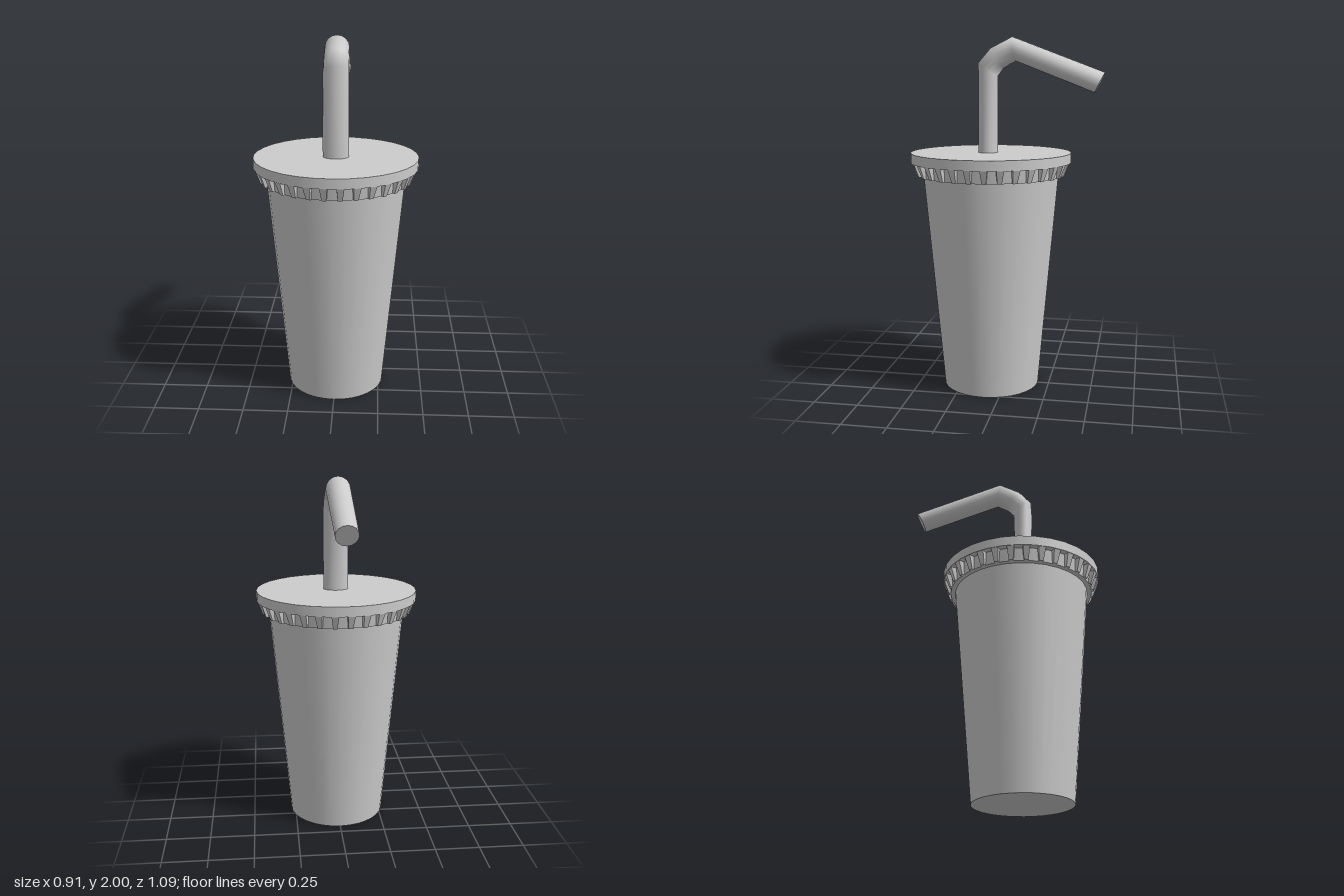
import * as THREE from 'three';

const SIDES = 32;
const mat = new THREE.MeshStandardMaterial({ color: 0xcccccc });

function add(parent, name, geometry) {
  const mesh = new THREE.Mesh(geometry, mat);
  mesh.name = name;
  parent.add(mesh);
  return mesh;
}

// Closed tapered drum between two heights
function drum(parent, name, rTop, rBottom, y0, y1) {
  const mesh = add(parent, name, new THREE.CylinderGeometry(rTop, rBottom, y1 - y0, SIDES));
  mesh.position.y = (y0 + y1) / 2;
  return mesh;
}

// Gusset-shaped tooth: deep and wide at the top, shallow and narrow below
function toothGeometry(height) {
  const g = new THREE.BoxGeometry(1, height, 1);
  const p = g.attributes.position;
  for (let i = 0; i < p.count; i++) {
    const top = p.getY(i) > 0;
    const outer = p.getZ(i) > 0;
    p.setX(i, Math.sign(p.getX(i)) * (top ? 0.02 : 0.012));
    p.setZ(i, outer ? (top ? 0.45 : 0.422) : 0.39);
  }
  g.computeVertexNormals();
  return g;
}

// Oval tube lofted through rings given by outer and inner points in the z-y plane
function strawGeometry(rings, sides) {
  const pos = [], index = [];
  for (const [zo, yo, zi, yi, halfWidth] of rings) {
    for (let j = 0; j < sides; j++) {
      const a = (j / sides) * Math.PI * 2;
      const c = Math.cos(a);
      pos.push(
        halfWidth * Math.sin(a),
        (yo + yi) / 2 + (c * (yo - yi)) / 2,
        (zo + zi) / 2 + (c * (zo - zi)) / 2
      );
    }
  }
  for (let i = 0; i < rings.length - 1; i++) {
    for (let j = 0; j < sides; j++) {
      const k = (j + 1) % sides;
      const a = i * sides + j, b = i * sides + k;
      index.push(a, b, b + sides, a, b + sides, a + sides);
    }
  }
  // Tip cap on its own vertices so its edge stays sharp
  const last = (rings.length - 1) * sides;
  const start = pos.length / 3;
  pos.push(...pos.slice(last * 3, (last + sides) * 3));
  for (let j = 1; j < sides - 1; j++) index.push(start, start + j, start + j + 1);

  const g = new THREE.BufferGeometry();
  g.setAttribute('position', new THREE.Float32BufferAttribute(pos, 3));
  g.setIndex(index);
  g.computeVertexNormals();
  return g;
}

export function createModel() {
  const model = new THREE.Group();
  model.name = 'drinkCup';

  const cup = new THREE.Group();
  cup.name = 'cupWithLid';
  cup.position.z = 0.09;
  model.add(cup);

  drum(cup, 'cupBody', 0.386, 0.275, 0, 1.25);
  drum(cup, 'lidSkirt', 0.42, 0.41, 1.232, 1.306);
  drum(cup, 'lidDisc', 0.455, 0.455, 1.305, 1.36);

  // Ribs around the lid skirt
  const teeth = new THREE.Group();
  teeth.name = 'lidTeeth';
  cup.add(teeth);
  const tooth = toothGeometry(0.074);
  for (let i = 0; i < SIDES; i++) {
    const mesh = add(teeth, 'lidTooth', tooth);
    mesh.position.y = 1.269;
    mesh.rotation.y = ((i + 0.5) / SIDES) * Math.PI * 2;
  }

  // Bent straw: outer z, outer y, inner z, inner y, half width
  add(model, 'straw', strawGeometry([
    [0.16, 1.33, 0.05, 1.33, 0.072],
    [0.16, 1.86, 0.05, 1.785, 0.07],
    [0.09, 1.94, 0.015, 1.83, 0.069],
    [-0.03, 2.0, -0.05, 1.865, 0.068],
    [-0.545, 1.805, -0.49, 1.695, 0.061],
  ], 16));

  return model;
}
